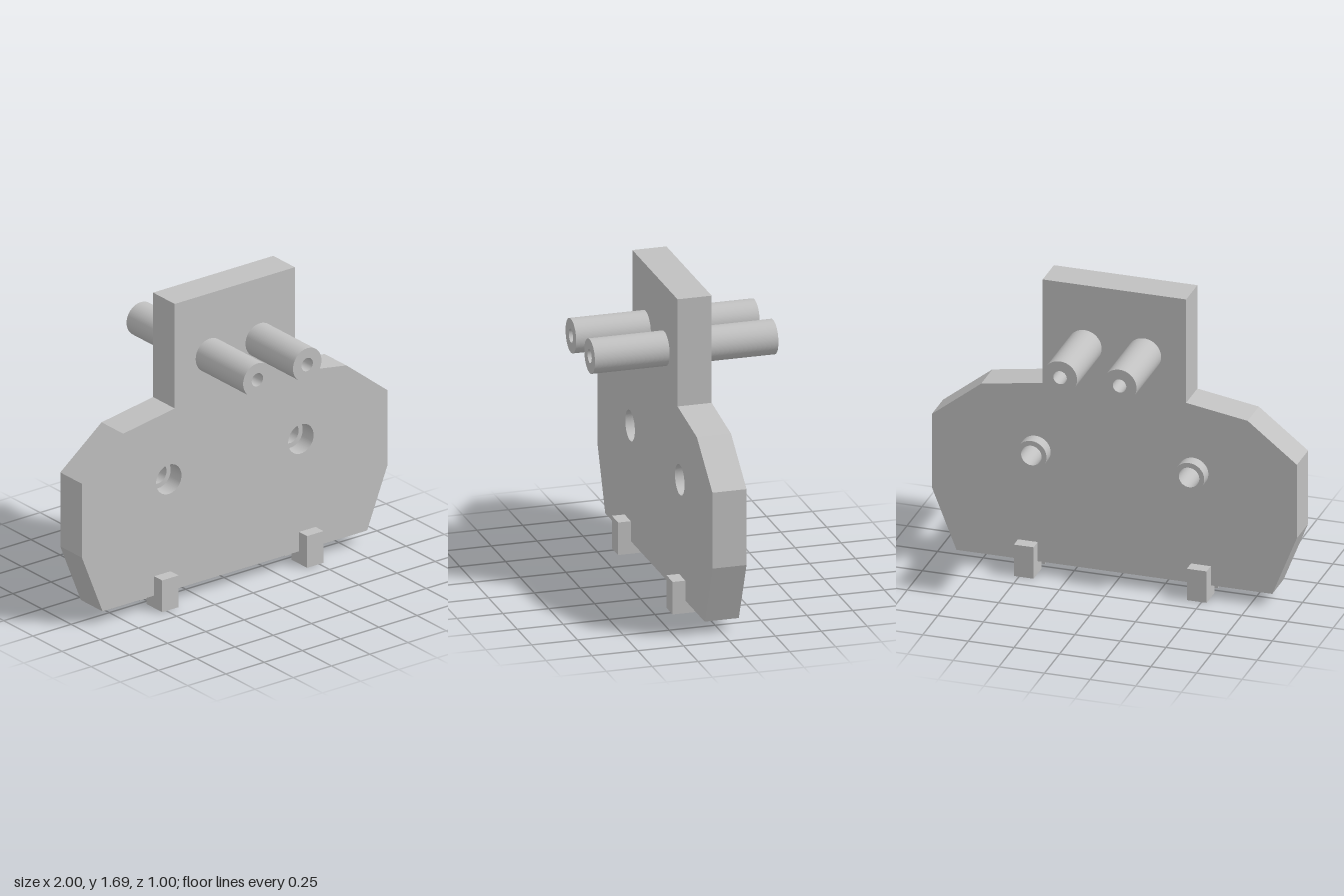
import * as THREE from 'three';

export function createModel() {
  const group = new THREE.Group();
  const metal = new THREE.MeshStandardMaterial({ color: 0xc0c0c0 });
  metal.name = 'plain grey';

  const HALF = 0.093; // half the plate thickness
  const pin = { x: 0.163, y: 1.34, outer: 0.093, inner: 0.037 };
  const bush = { x: 0.432, y: 0.705, outer: 0.083, inner: 0.056 };

  const add = (name, geometry) => {
    const mesh = new THREE.Mesh(geometry, metal);
    mesh.name = name;
    group.add(mesh);
    return mesh;
  };
  const circle = (x, y, r) => new THREE.Path().absarc(x, y, r, 0, Math.PI * 2, true);
  const extrude = (shape, z0, z1) =>
    new THREE.ExtrudeGeometry(shape, { depth: z1 - z0, bevelEnabled: false, curveSegments: 48 }).translate(0, 0, z0);

  // Hollow round part running along z
  const tube = (name, { y, outer, inner }, x, z0, z1) => {
    const shape = new THREE.Shape();
    shape.absarc(x, y, outer, 0, Math.PI * 2, false);
    shape.holes.push(circle(x, y, inner));
    add(name, extrude(shape, z0, z1));
  };

  // Plate: mirrored outline with holes for pins and bushings
  const right = [[0.865, 0.07], [1, 0.41], [1, 0.83], [0.73, 1.043], [0.393, 1.097], [0.393, 1.69]];
  const left = right.map(([x, y]) => [-x, y]).reverse();
  const outline = new THREE.Shape([...right, ...left].map(([x, y]) => new THREE.Vector2(x, y)));
  for (const side of [-1, 1]) {
    outline.holes.push(circle(side * pin.x, pin.y, pin.outer));
    outline.holes.push(circle(side * bush.x, bush.y, bush.outer));
  }
  add('plate', extrude(outline, -HALF, HALF));

  for (const side of [-1, 1]) {
    const label = side > 0 ? 'left' : 'right';
    // Long pin through the plate, and bushing set into its back half
    tube(label + 'Pin', pin, side * pin.x, -0.5, 0.5);
    tube(label + 'Bushing', bush, side * bush.x, -0.162, 0);

    // Foot clips: an L-shaped hook on each face, turned in under the plate
    for (const face of [-1, 1]) {
      const hook = new THREE.Shape([[0.028, 0], [0.162, 0], [0.162, 0.18], [HALF, 0.18], [HALF, 0.07], [0.028, 0.07]]
        .map(([z, y]) => new THREE.Vector2(z, y)));
      const clip = add(label + (face > 0 ? 'FrontClip' : 'BackClip'), extrude(hook, -0.054, 0.054));
      clip.rotation.y = -face * Math.PI / 2;
      clip.position.x = side * 0.474;
    }
  }
  return group;
}
